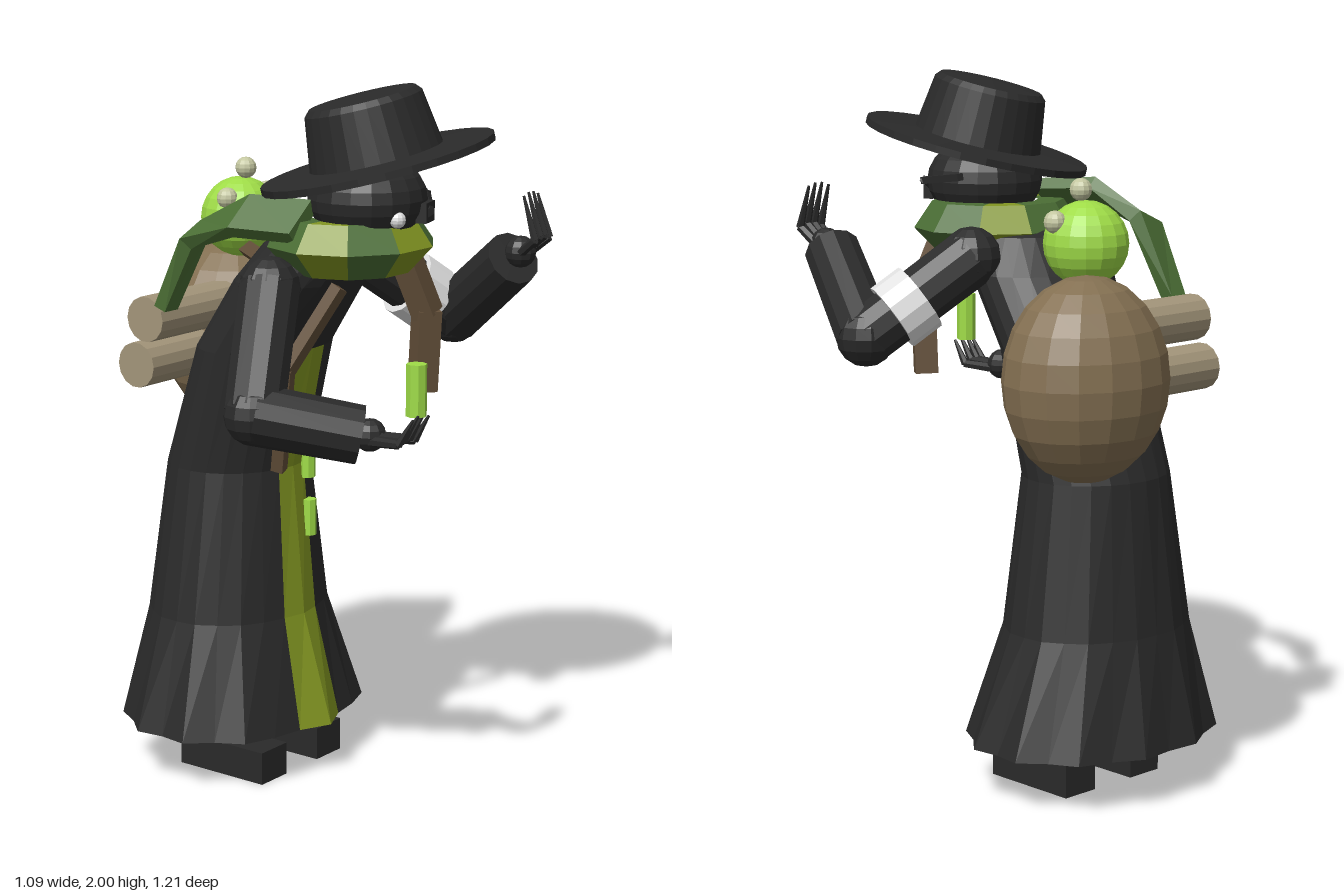
import * as THREE from 'three';

const mat = (name, color) => {
  const m = new THREE.MeshStandardMaterial({ color, flatShading: true });
  m.name = name;
  return m;
};
const V = (p) => new THREE.Vector3(...p);

export function createModel() {
  const model = new THREE.Group();
  const black = mat('black cloth', 0x2a2a2a);
  const olive = mat('olive trim', 0x839722);
  const green = mat('dark green cloth', 0x4b6e35);
  const lime = mat('lime', 0x9fdc47);
  const brown = mat('pack brown', 0x847052);
  const leather = mat('dark leather', 0x64503a);
  const wood = mat('pale wood', 0xa3957a);
  const white = mat('white cloth', 0xe2e2e2);
  const cream = mat('cream', 0xc3c6a0);

  const add = (name, geo, material, pos = [0, 0, 0], parent = model) => {
    const m = new THREE.Mesh(geo, material);
    m.name = name;
    m.position.set(...pos);
    parent.add(m);
    return m;
  };
  const group = (name) => {
    const g = new THREE.Group();
    g.name = name;
    model.add(g);
    return g;
  };
  const aim = (mesh, a, b) => {
    mesh.position.copy(V(a)).lerp(V(b), 0.5);
    mesh.quaternion.setFromUnitVectors(V([0, 1, 0]), V(b).sub(V(a)).normalize());
    return mesh;
  };
  // round rod between two points
  const rod = (name, a, b, r0, r1, material, parent, sides = 12) =>
    aim(add(name, new THREE.CylinderGeometry(r1, r0, V(a).distanceTo(V(b)), sides), material, [0, 0, 0], parent), a, b);
  // flat straps following a path
  const strap = (name, pts, w, d, material) => {
    const g = group(name);
    for (let i = 0; i < pts.length - 1; i++) {
      const len = V(pts[i]).distanceTo(V(pts[i + 1])) + 0.015;
      aim(add(name + 'Piece', new THREE.BoxGeometry(w, len, d), material, [0, 0, 0], g), pts[i], pts[i + 1]);
    }
  };

  // robe: leaning rings [y, centre x, radius x, centre z, radius z, fold depth]
  const rings = [
    [0.15, -0.03, 0.395, -0.19, 0.322, 1],
    [0.47, -0.037, 0.288, -0.2, 0.24, 0.3],
    [0.9, -0.037, 0.222, -0.195, 0.195, 0],
    [1.25, -0.035, 0.225, -0.1, 0.17, 0],
    [1.45, -0.035, 0.215, 0.03, 0.17, 0],
    [1.55, -0.035, 0.165, 0.1, 0.16, 0],
    [1.6, -0.035, 0.1, 0.15, 0.1, 0],
  ];
  const N = 24;
  const point = ([y, cx, rx, cz, rz, fold], k) => {
    const t = (k / N) * Math.PI * 2;
    const f = k === 0 || k === N ? 1 : k === 1 || k === -1 || k === N - 1 ? 1 - 0.1 * fold : k % 2 ? 1 : 1 - 0.06 * fold;
    return [cx + Math.sin(t) * rx * f, y, cz + Math.cos(t) * rz * f];
  };
  const cloth = [], trim = [];
  const first = rings[0], last = rings[rings.length - 1];
  for (let k = -1; k < N - 1; k++) {
    for (let i = 0; i < rings.length - 1; i++) {
      const a = point(rings[i], k), b = point(rings[i], k + 1);
      const c = point(rings[i + 1], k + 1), d = point(rings[i + 1], k);
      (k < 1 && i < 3 ? trim : cloth).push(...a, ...b, ...c, ...a, ...c, ...d);
    }
    cloth.push(first[1], first[0], first[3], ...point(first, k + 1), ...point(first, k));
    cloth.push(last[1], last[0], last[3], ...point(last, k), ...point(last, k + 1));
  }
  for (const [name, data, m] of [['robe', cloth, black], ['robeFrontStripe', trim, olive]]) {
    const g = new THREE.BufferGeometry();
    g.setAttribute('position', new THREE.Float32BufferAttribute(data, 3));
    g.computeVertexNormals();
    add(name, g, m);
  }

  // legs and boots
  for (const x of [-0.165, 0.095]) {
    add('leg', new THREE.CylinderGeometry(0.055, 0.055, 0.13, 12), leather, [x, 0.155, -0.205]);
    add('boot', new THREE.BoxGeometry(0.115, 0.095, 0.3), black, [x, 0.0475, -0.12]);
  }

  // head, eye and eyepatch
  add('head', new THREE.SphereGeometry(0.165, 18, 12), black, [-0.03, 1.69, 0.25]).scale.y = 0.75;
  add('eye', new THREE.SphereGeometry(0.023, 10, 8), white, [-0.085, 1.647, 0.39]);
  add('eyepatch', new THREE.BoxGeometry(0.075, 0.055, 0.03), black, [0.03, 1.657, 0.4]).rotation.y = 0.3;
  strap('eyepatchBand', [[0.02, 1.66, 0.42], [0.12, 1.69, 0.34], [0.135, 1.71, 0.18]], 0.02, 0.02, black);

  // tilted hat
  const hatProfile = [[0, -0.02], [0.2, -0.02], [0.325, -0.005], [0.325, 0.015], [0.185, 0.022], [0.163, 0.17], [0.148, 0.186], [0, 0.196]];
  const hat = add('hat', new THREE.LatheGeometry(hatProfile.map((p) => new THREE.Vector2(...p)), 28), black, [-0.03, 1.782, 0.285]);
  hat.rotation.set(-0.2, 0, 0.14);

  // faceted scarf with olive panels
  const scarfProfile = [[0.12, 1.475], [0.175, 1.485], [0.248, 1.56], [0.195, 1.635], [0.12, 1.635]];
  const scarfGeo = new THREE.LatheGeometry(scarfProfile.map((p) => new THREE.Vector2(...p)), 10, -Math.PI / 10);
  for (let i = 0; i < 10; i++) scarfGeo.addGroup(i * 24, 24, [0, 4, 8].includes(i) ? 0 : 1);
  const scarf = add('scarf', scarfGeo, [olive, green], [-0.03, 0, 0.195]);
  scarf.scale.z = 0.93;

  // scarf tail over the right shoulder: [centre, half width vector, half thickness vector]
  const tail = [
    [[-0.303, 1.37, -0.24], [0.028, 0, 0], [0, 0.007, -0.019]],
    [[-0.28, 1.58, -0.15], [0.045, 0.02, 0], [-0.01, 0.015, -0.012]],
    [[-0.265, 1.645, 0], [0.05, 0.04, 0], [-0.013, 0.015, 0]],
    [[-0.2, 1.635, 0.16], [0.05, 0.04, 0], [-0.013, 0.015, 0]],
  ];
  const tailGeo = new THREE.BoxGeometry(2, 2, 3, 1, 1, 3);
  const tp = tailGeo.attributes.position;
  for (let i = 0; i < tp.count; i++) {
    const [c, w, t] = tail[Math.round(tp.getZ(i) + 1.5)];
    const p = V(c).addScaledVector(V(w), tp.getX(i)).addScaledVector(V(t), tp.getY(i));
    tp.setXYZ(i, p.x, p.y, p.z);
  }
  tailGeo.computeVertexNormals();
  add('scarfTail', tailGeo, green);

  // arms
  const arm = (side, shoulder, elbow, wrist) => {
    const g = group(side + 'Arm');
    add('shoulder', new THREE.SphereGeometry(0.085, 12, 8), black, shoulder, g);
    rod('upperArm', shoulder, elbow, 0.085, 0.082, black, g);
    add('elbow', new THREE.SphereGeometry(0.084, 12, 8), black, elbow, g);
    rod('forearm', elbow, wrist, 0.084, 0.08, black, g);
    return g;
  };
  const hand = (parent, wrist, knuckle, tip) => {
    add('palm', new THREE.SphereGeometry(0.045, 10, 8), black, wrist, parent);
    for (let i = 0; i < 4; i++) {
      const s = i - 1.5;
      const shift = (p, w) => [p[0] + s * w, p[1] - Math.abs(s) * 0.008, p[2]];
      rod('finger', shift(wrist, 0.015), shift(knuckle, 0.025), 0.015, 0.012, black, parent, 6);
      rod('fingertip', shift(knuckle, 0.025), shift(tip, 0.024), 0.012, 0.004, black, parent, 6);
    }
  };
  const rightArm = arm('right', [-0.27, 1.46, 0.1], [-0.46, 1.155, 0.195], [-0.29, 1.1, 0.42]);
  hand(rightArm, [-0.275, 1.1, 0.44], [-0.262, 1.105, 0.55], [-0.255, 1.175, 0.59]);
  const leftArm = arm('left', [0.19, 1.5, 0.07], [0.457, 1.29, 0.21], [0.35, 1.495, 0.48]);
  hand(leftArm, [0.355, 1.515, 0.5], [0.355, 1.57, 0.57], [0.355, 1.69, 0.53]);
  rod('armBand', [0.32, 1.395, 0.139], [0.39, 1.34, 0.176], 0.1, 0.1, white, leftArm, 14);

  // vials: one in the hand, three on the robe
  for (const [x, y, z, r, h] of [[-0.248, 1.235, 0.57, 0.028, 0.14], [0.025, 0.74, 0.01, 0.022, 0.105], [0.025, 0.91, 0.005, 0.022, 0.105], [0.025, 1.045, 0.04, 0.02, 0.05]])
    add('vial', new THREE.CylinderGeometry(r, r, h, 8), lime, [x, y, z]);

  // hanging leather straps
  strap('leftStrap', [[0.08, 1.52, 0.3], [0.13, 1.36, 0.34], [0.135, 1.145, 0.325]], 0.065, 0.075, leather);
  strap('rightStrap', [[-0.19, 1.46, 0.27], [-0.285, 1.24, 0.17], [-0.23, 0.95, 0.1]], 0.035, 0.035, leather);

  // pack and bundled logs
  add('pack', new THREE.SphereGeometry(1, 16, 12), brown, [0.205, 1.215, -0.395]).scale.set(0.245, 0.28, 0.207);
  for (const [y, z] of [[1.325, -0.325], [1.19, -0.36]])
    rod('log', [-0.295, y, z], [0.1, y, z], 0.065, 0.065, wood, model, 14);

  // round creature with three eyes, and its perch
  add('creature', new THREE.SphereGeometry(0.116, 16, 12), lime, [0.133, 1.567, -0.322]);
  for (const [x, y] of [[0.047, 1.63], [0.133, 1.71], [0.23, 1.63]])
    add('creatureEye', new THREE.SphereGeometry(0.031, 12, 8), cream, [x, y, -0.302]);
  strap('perch', [[0.13, 1.48, -0.31], [-0.1, 1.5, -0.06]], 0.04, 0.03, leather);

  return model;
}
